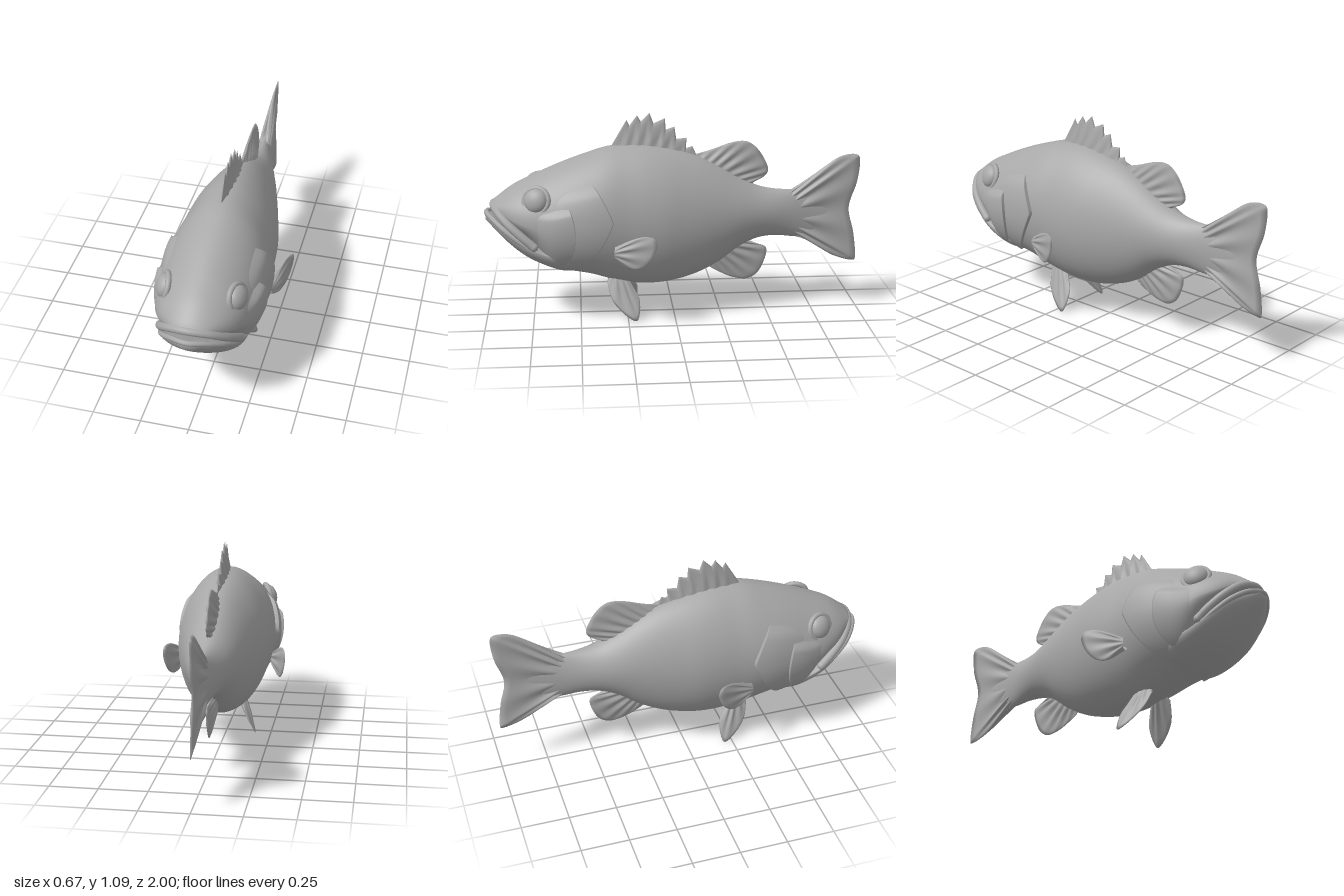
import * as THREE from 'three';
import { ParametricGeometry } from 'three/addons/geometries/ParametricGeometry.js';
import { mergeVertices } from 'three/addons/utils/BufferGeometryUtils.js';

const grey = new THREE.MeshStandardMaterial({ color: 0xa8a8a8, side: THREE.DoubleSide });
grey.name = 'grey';

// Smooth welded surface from a rule f(u, v) -> [x, y, z]
function surface(name, f, nu, nv) {
  let g = new ParametricGeometry((u, v, p) => p.set(...f(u, v)), nu, nv);
  g.deleteAttribute('uv');
  g.deleteAttribute('normal');
  g = mergeVertices(g, 1e-5);
  g.computeVertexNormals();
  const m = new THREE.Mesh(g, grey);
  m.name = name;
  return m;
}

// Evenly spaced sections [top, bottom, half width, height of widest point 0..1]
function makeSkin(zFront, zBack, rows) {
  const a = new THREE.CatmullRomCurve3(rows.map(r => new THREE.Vector3(r[0], r[1], r[2])), false, 'catmullrom', 0.5);
  const b = new THREE.CatmullRomCurve3(rows.map(r => new THREE.Vector3(r[3], 0, 0)), false, 'catmullrom', 0.5);
  return (z, angle) => {
    const t = THREE.MathUtils.clamp((zFront - z) / (zFront - zBack), 0, 1);
    const s = a.getPoint(t), mid = s.y + (s.x - s.y) * b.getPoint(t).x;
    const c = Math.cos(angle);
    const x = s.z * Math.sin(angle) * (1 - 0.14 * Math.max(c, 0) ** 2);
    return [x, mid + c * (c > 0 ? s.x - mid : mid - s.y), z];
  };
}

// Closed loft around a skin, with its two ends pinched shut
function loft(name, skin, zFront, zBack, nv) {
  return surface(name, (u, v) => {
    const k = THREE.MathUtils.clamp((v * nv - 1) / (nv - 2), 0, 1);
    const z = zFront + (zBack - zFront) * k;
    if (v < 1e-6 || v > 1 - 1e-6) {
      const p = skin(z, 0), q = skin(z, Math.PI);
      return [0, (p[1] + q[1]) / 2, z];
    }
    return skin(z, (u % 1) * Math.PI * 2);
  }, 48, nv);
}

const bodySkin = makeSkin(0.95, -0.85, [
  [0.64, 0.60, 0.075, 0.4], [0.715, 0.52, 0.175, 0.3], [0.765, 0.43, 0.228, 0.35],
  [0.81, 0.29, 0.25, 0.45], [0.85, 0.255, 0.26, 0.48], [0.885, 0.235, 0.265, 0.48],
  [0.915, 0.205, 0.262, 0.48], [0.925, 0.18, 0.252, 0.48], [0.925, 0.17, 0.247, 0.48],
  [0.91, 0.175, 0.237, 0.48], [0.885, 0.195, 0.215, 0.48], [0.85, 0.23, 0.19, 0.49],
  [0.80, 0.285, 0.163, 0.5], [0.74, 0.36, 0.135, 0.5], [0.69, 0.405, 0.104, 0.5],
  [0.67, 0.415, 0.073, 0.5], [0.665, 0.405, 0.045, 0.5], [0.65, 0.41, 0.024, 0.5],
  [0.59, 0.47, 0.008, 0.5]]);

const jawSkin = makeSkin(0.99, 0.49, [
  [0.585, 0.535, 0.035, 0.7], [0.535, 0.435, 0.15, 0.75], [0.475, 0.353, 0.2, 0.75],
  [0.425, 0.3, 0.215, 0.75], [0.41, 0.262, 0.215, 0.75], [0.40, 0.26, 0.19, 0.75]]);

// Raised cheek plate lying on the body, ending in a step along the edge rule
function plate(name, side, a0, a1, front, edge, lift) {
  return surface(name, (u, v) => {
    const angle = a0 + (a1 - a0) * u;
    const e = edge(u), z = front + (e - front) * Math.min(v * 1.12, 1);
    const p = bodySkin(z, angle);
    const fade = Math.min(1, Math.sin(Math.PI * u) * 2.5);
    const h = v > 0.95 ? -0.01 : -0.008 + (lift + 0.008) * fade * Math.sin(Math.min(v / 0.85, 1) * Math.PI / 2);
    return [side * (p[0] + h * Math.sin(angle)), p[1] + h * Math.cos(angle) * 0.6, z];
  }, 32, 24);
}

// Fin with swelling rays between a base line and an outer edge, points as [z, y]
function fin(name, base, tip, { thick = 0.02, rays = 7, sharp = false, side = 1, bend = () => 0 } = {}) {
  const line = (pts, tension) => new THREE.CatmullRomCurve3(
    pts.map(p => new THREE.Vector3(0, p[1], p[0])), false, 'catmullrom', tension);
  const inner = line(base, 0.5), outer = line(tip, sharp ? 0 : 0.5);
  return surface(name, (u, v) => {
    const w = 1 - Math.abs(2 * v - 1);
    const p = inner.getPoint(u).lerp(outer.getPoint(u), w);
    const ripple = 1 + 0.3 * Math.cos(Math.PI * 2 * rays * u) * Math.min(1, w * 3);
    const ends = Math.sqrt(Math.max(0, Math.sin(Math.PI * u)));
    const half = w > 0.999 ? 0 : (thick * (1 - w) + 0.003) * ripple * ends;
    return [side * (bend(p.z, p.y) + Math.sign(0.5 - v) * half), p.y, p.z];
  }, (tip.length - 1) * 6, 20);
}

// Rounded lip following the mouth; pts are the left half from corner to middle
function lip(name, pts, radius) {
  const half = pts.map(p => new THREE.Vector3(...p));
  const other = half.slice(0, -1).reverse().map(p => new THREE.Vector3(-p.x, p.y, p.z));
  const path = new THREE.CatmullRomCurve3([...half, ...other]);
  const g = new THREE.Group();
  g.name = name;
  g.add(new THREE.Mesh(new THREE.TubeGeometry(path, 48, radius, 10), grey));
  for (const s of [1, -1]) {
    const end = new THREE.Mesh(new THREE.SphereGeometry(radius, 12, 8), grey);
    end.position.set(s * pts[0][0], pts[0][1], pts[0][2]);
    g.add(end);
  }
  return g;
}

export function createModel() {
  const fish = new THREE.Group();
  fish.name = 'fish';

  // Body, jaw and lips
  fish.add(loft('body', bodySkin, 0.95, -0.85, 74));
  fish.add(loft('lowerJaw', jawSkin, 0.99, 0.49, 26));
  fish.add(lip('upperLip', [[0.205, 0.435, 0.735], [0.19, 0.49, 0.80], [0.155, 0.55, 0.87],
    [0.09, 0.602, 0.925], [0, 0.62, 0.947]], 0.022));
  fish.add(lip('lowerLip', [[0.195, 0.41, 0.74], [0.18, 0.465, 0.82], [0.145, 0.52, 0.895],
    [0.08, 0.563, 0.955], [0, 0.577, 0.985]], 0.014));

  // Fins on the centre line
  fish.add(fin('tailFin', [[-0.58, 0.655], [-0.6, 0.54], [-0.58, 0.425]],
    [[-0.64, 0.667], [-0.7, 0.69], [-0.8, 0.78], [-0.89, 0.84], [-0.97, 0.852], [-0.997, 0.82],
      [-0.985, 0.70], [-0.945, 0.56], [-0.975, 0.42], [-0.99, 0.29], [-0.97, 0.262],
      [-0.86, 0.295], [-0.77, 0.355], [-0.7, 0.39], [-0.64, 0.408]], { thick: 0.035, rays: 9 }));
  fish.add(fin('spinyDorsalFin', [[0.32, 0.89], [0.1, 0.89], [-0.12, 0.83]],
    [[0.325, 0.92], [0.245, 1.055], [0.23, 1.025], [0.19, 1.078], [0.17, 1.045], [0.125, 1.09],
      [0.105, 1.035], [0.045, 1.06], [0.04, 1.0], [-0.005, 1.015], [-0.015, 0.95],
      [-0.07, 0.955], [-0.065, 0.9], [-0.1, 0.91], [-0.12, 0.865]], { thick: 0.026, rays: 7, sharp: true }));
  fish.add(fin('softDorsalFin', [[-0.1, 0.84], [-0.25, 0.77], [-0.42, 0.68]],
    [[-0.11, 0.865], [-0.2, 0.89], [-0.31, 0.927], [-0.39, 0.93], [-0.45, 0.885], [-0.495, 0.81],
      [-0.502, 0.765], [-0.47, 0.73], [-0.41, 0.71]], { thick: 0.026, rays: 8 }));
  fish.add(fin('analFin', [[-0.18, 0.28], [-0.28, 0.34], [-0.4, 0.41]],
    [[-0.2, 0.24], [-0.25, 0.212], [-0.32, 0.182], [-0.4, 0.172], [-0.46, 0.21], [-0.497, 0.29],
      [-0.5, 0.345], [-0.46, 0.366], [-0.4, 0.38]], { thick: 0.026, rays: 7 }));

  // Paired parts
  for (const side of [1, -1]) {
    const tag = side > 0 ? 'left' : 'right';
    fish.add(fin(tag + 'PectoralFin', [[0.32, 0.44], [0.325, 0.41], [0.32, 0.375]],
      [[0.31, 0.445], [0.25, 0.48], [0.18, 0.508], [0.125, 0.505], [0.108, 0.465], [0.13, 0.40],
        [0.17, 0.35], [0.22, 0.33], [0.27, 0.343], [0.31, 0.37]],
      { thick: 0.018, rays: 5, side, bend: z => 0.25 + (0.32 - z) * 0.4 }));
    fish.add(fin(tag + 'PelvicFin', [[0.34, 0.23], [0.29, 0.22], [0.24, 0.21]],
      [[0.36, 0.2], [0.335, 0.11], [0.28, 0.045], [0.215, 0.003], [0.192, 0.03], [0.19, 0.11],
        [0.23, 0.18]],
      { thick: 0.02, rays: 4, side, bend: (z, y) => 0.075 + (0.2 - y) * 0.46 }));

    // Gill cover with a rear point, and the smaller cheek plate before it
    fish.add(plate(tag + 'GillCover', side, 0.85, 2.75, 0.66,
      u => 0.325 + 0.2 * Math.abs(u - 0.34) ** 1.1 * (u < 0.34 ? 1.9 : 1.8), 0.02));
    fish.add(plate(tag + 'Cheek', side, 1.15, 2.5, 0.74,
      u => 0.52 + 0.25 * (u - 0.4) ** 2, 0.026));

    // Eye in a raised socket
    const eye = new THREE.Group();
    eye.name = tag + 'Eye';
    const ball = new THREE.Mesh(new THREE.SphereGeometry(0.062, 24, 16), grey);
    ball.scale.z = 0.62;
    const socket = new THREE.Mesh(new THREE.TorusGeometry(0.066, 0.014, 10, 32), grey);
    socket.position.z = -0.006;
    eye.add(ball, socket);
    eye.position.set(side * 0.186, 0.678, 0.72);
    eye.rotation.set(-0.3, side * 1.22, 0, 'YXZ');
    fish.add(eye);
  }
  return fish;
}
